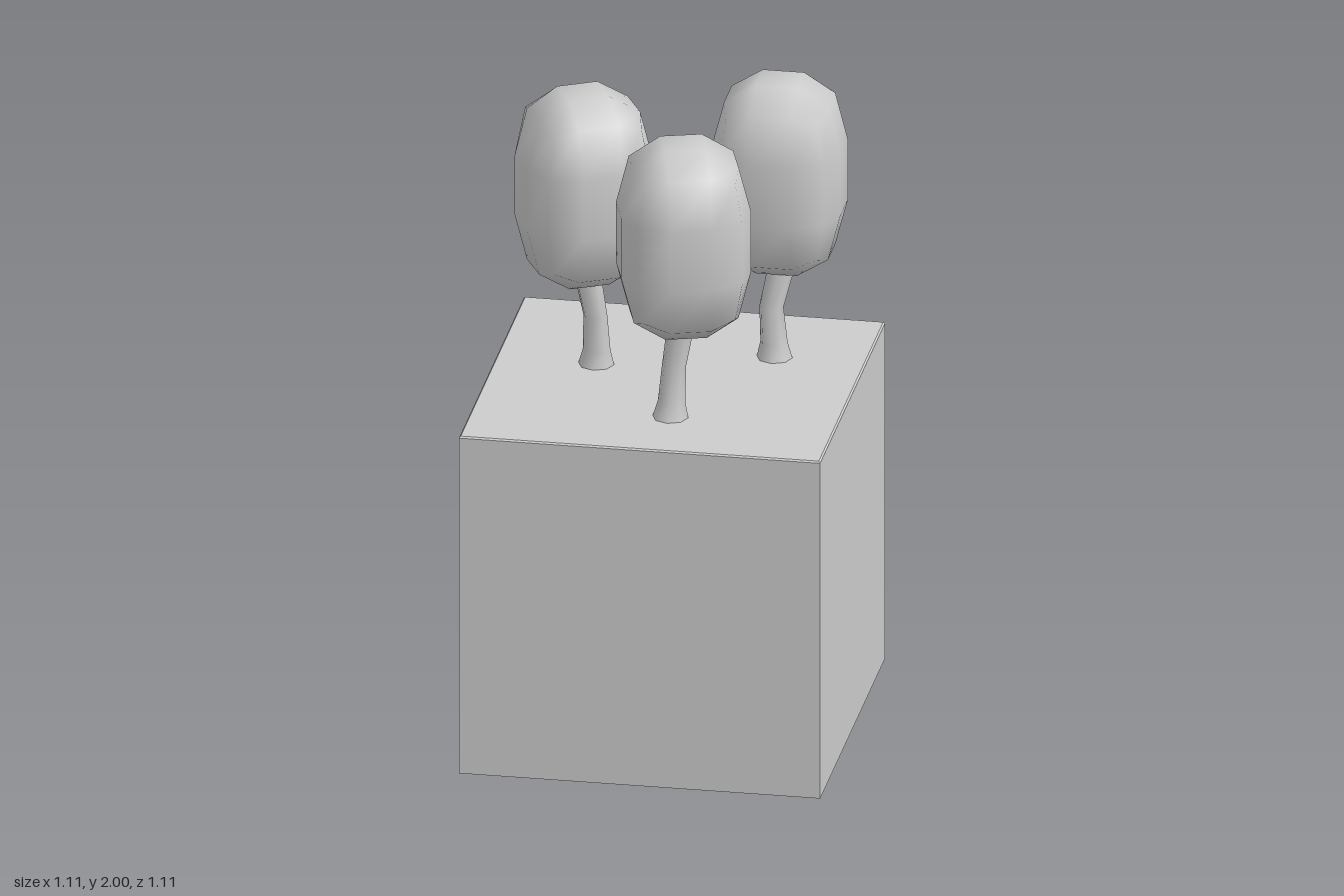
import * as THREE from 'three';
import { mergeVertices, toCreasedNormals } from 'three/addons/utils/BufferGeometryUtils.js';

const material = new THREE.MeshStandardMaterial({ color: 0xcccccc });

function addMesh(parent, name, geometry) {
  const mesh = new THREE.Mesh(geometry, material);
  mesh.name = name;
  parent.add(mesh);
  return mesh;
}

// Square block with a fine bevel around its top edge
function blockGeometry() {
  const profile = [[0, 0], [0.555, 0], [0.555, 1.1], [0.55, 1.105], [0, 1.105]]
    .map(([r, y]) => new THREE.Vector2(r * Math.SQRT2, y));
  return toCreasedNormals(new THREE.LatheGeometry(profile, 4, Math.PI / 4), 0.4);
}

// Crown: a 3 x 3 x 3 box whose edges and corners are pulled inwards
function crownGeometry() {
  let geometry = new THREE.BoxGeometry(2, 2, 2, 3, 3, 3);
  geometry.deleteAttribute('uv');
  geometry.deleteAttribute('normal');
  geometry = mergeVertices(geometry);
  const pos = geometry.attributes.position;
  const outer = [0, 1, 0.805, 0.71]; // by number of outer axes: face, edge, corner
  for (let i = 0; i < pos.count; i++) {
    const p = [pos.getX(i), pos.getY(i), pos.getZ(i)];
    const count = p.filter((v) => Math.abs(v) > 0.9).length;
    const [x, y, z] = p.map((v) => Math.sign(v) * (Math.abs(v) > 0.9 ? outer[count] : 0.32));
    pos.setXYZ(i, x * 0.198, y * 0.308, z * 0.198);
  }
  geometry.computeVertexNormals();
  return geometry;
}

// Trunk: a tube with flared foot, its rings shifted to follow a bend
const ringY = [1.1, 1.155, 1.27, 1.385, 1.45];
const ringRadius = [0.056, 0.042, 0.037, 0.041, 0.041];
function trunkGeometry(centres) {
  const geometry = new THREE.CylinderGeometry(1, 1, 1, 8, 4, true);
  const pos = geometry.attributes.position;
  for (let i = 0; i < pos.count; i++) {
    const k = Math.round((pos.getY(i) + 0.5) * 4);
    const [cx, cz] = centres[k];
    pos.setXYZ(i, cx + pos.getX(i) * ringRadius[k], ringY[k], cz + pos.getZ(i) * ringRadius[k]);
  }
  geometry.deleteAttribute('uv');
  geometry.deleteAttribute('normal');
  const merged = mergeVertices(geometry);
  merged.computeVertexNormals();
  return merged;
}

// Crown centre, turn in degrees, and trunk ring centres [x, z] from foot to top
const trees = [
  { name: 'leftBackTree', x: 0.283, z: -0.268, turn: 0,
    trunk: [[0.275, -0.226], [0.273, -0.226], [0.265, -0.225], [0.29, -0.247], [0.3, -0.255]] },
  { name: 'rightTree', x: -0.284, z: -0.067, turn: 27.6,
    trunk: [[-0.247, -0.08], [-0.245, -0.077], [-0.247, -0.064], [-0.267, -0.062], [-0.275, -0.062]] },
  { name: 'frontTree', x: 0.085, z: 0.275, turn: 17.3,
    trunk: [[0.047, 0.288], [0.05, 0.285], [0.056, 0.275], [0.074, 0.275], [0.08, 0.275]] },
];

export function createModel() {
  const model = new THREE.Group();
  model.name = 'treeBlock';
  addMesh(model, 'groundBlock', blockGeometry());

  const crownShape = crownGeometry();
  for (const { name, x, z, turn, trunk } of trees) {
    const tree = new THREE.Group();
    tree.name = name;
    addMesh(tree, 'trunk', trunkGeometry(trunk));
    const crown = addMesh(tree, 'crown', crownShape);
    crown.position.set(x, 1.692, z);
    crown.rotation.y = THREE.MathUtils.degToRad(turn);
    model.add(tree);
  }
  return model;
}
